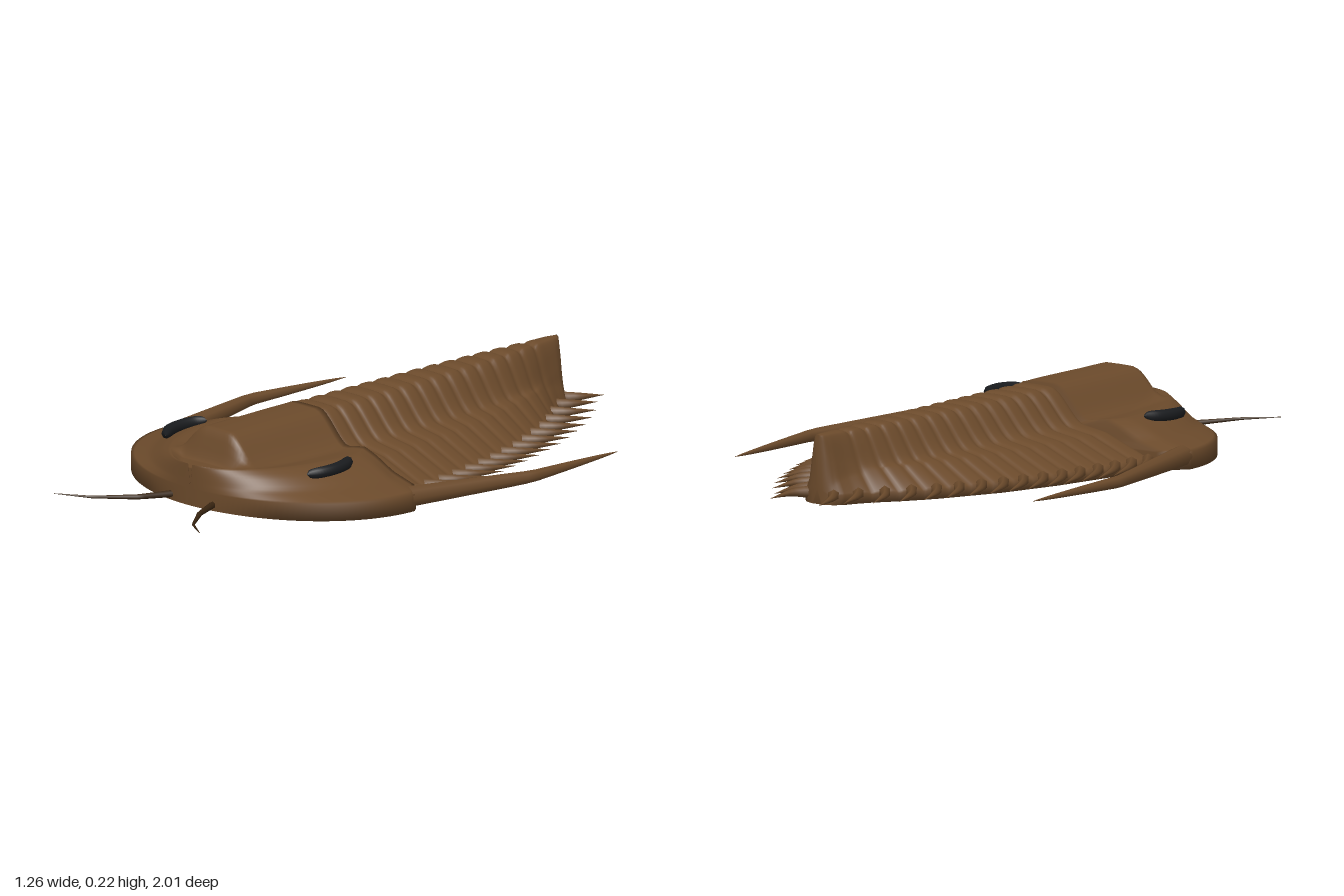
import * as THREE from 'three';

const smooth = (a, b, v) => THREE.MathUtils.smoothstep(v, a, b);

// Linear interpolation through [key, value] pairs with rising keys
function lerpTable(table, v) {
  for (let i = 1; i < table.length; i++) {
    const [k0, v0] = table[i - 1], [k1, v1] = table[i];
    if (v <= k1) return v0 + (v1 - v0) * Math.max(0, (v - k0) / (k1 - k0));
  }
  return table[table.length - 1][1];
}

// Closed shell with a flat underside, lofted over stations [z, halfWidth] of falling z
function loftShell(stations, height) {
  const top = 56, under = 6, n = top + 1 + under + 1;
  const pos = [], index = [];
  for (const [z, w] of stations) {
    for (let j = 0; j <= top; j++) {
      const u = (j / top) * 2 - 1;
      pos.push(u * w, height(Math.abs(u), w, z), z);
    }
    for (let j = 0; j <= under; j++) pos.push((1 - (2 * j) / under) * w, 0, z);
  }
  for (let i = 0; i < stations.length - 1; i++) {
    for (let j = 0; j < n; j++) {
      const a = i * n + j, b = i * n + ((j + 1) % n), c = a + n, d = b + n;
      index.push(a, b, c, b, d, c);
    }
  }
  // end caps
  const last = stations.length - 1;
  for (const s of [0, last]) {
    const centre = pos.length / 3;
    pos.push(0, 0.05, stations[s][0]);
    for (let j = 0; j < n; j++) {
      const a = s * n + j, b = s * n + ((j + 1) % n);
      if (s === 0) index.push(centre, b, a);
      else index.push(centre, a, b);
    }
  }
  const geo = new THREE.BufferGeometry();
  geo.setAttribute('position', new THREE.Float32BufferAttribute(pos, 3));
  geo.setIndex(index);
  geo.computeVertexNormals();
  return geo;
}

// Tube whose radius follows a rule; tension 0 keeps the path straight between points
function taperedTube(points, radius, { tension = 0, segments = 16, sides = 8, side = 1 } = {}) {
  const curve = new THREE.CatmullRomCurve3(
    points.map(([x, y, z]) => new THREE.Vector3(x * side, y, z)), false, 'catmullrom', tension);
  const geo = new THREE.TubeGeometry(curve, segments, 1, sides);
  const p = geo.attributes.position, v = new THREE.Vector3();
  for (let i = 0; i <= segments; i++) {
    const c = curve.getPointAt(i / segments), r = Math.max(radius(i / segments), 0.0005);
    for (let j = 0; j <= sides; j++) {
      const k = i * (sides + 1) + j;
      v.fromBufferAttribute(p, k).sub(c).multiplyScalar(r).add(c);
      p.setXYZ(k, v.x, v.y, v.z);
    }
  }
  return geo;
}

export function createModel() {
  const model = new THREE.Group();
  model.name = 'trilobite';
  const shell = new THREE.MeshStandardMaterial({ color: 0x6b4a2b });
  shell.name = 'brown shell';
  const dark = new THREE.MeshStandardMaterial({ color: 0x3a2612 });
  dark.name = 'dark brown';
  const black = new THREE.MeshStandardMaterial({ color: 0x1a1c1f });
  black.name = 'eye black';
  const add = (name, geo, mat) => {
    const mesh = new THREE.Mesh(geo, mat);
    mesh.name = name;
    model.add(mesh);
  };

  // Head shield: half ellipse with a raised central lobe and swollen cheeks
  const headStations = [];
  for (let i = 0; i <= 44; i++) {
    const a = (1 - i / 44) * Math.PI * 0.49;
    headStations.push([0.27 + 0.445 * Math.sin(a), 0.54 * Math.cos(a)]);
  }
  headStations.push([0.25, 0.525], [0.22, 0.49], [0.195, 0.465]);
  const cheek = [[0, 0.122], [0.36, 0.12], [0.45, 0.128], [0.54, 0.134], [0.65, 0.115], [0.8, 0.08], [1, 0.055]];
  add('headShield', loftShell(headStations, (u, w, z) => {
    const lobe = 1 - smooth(0.05, 0.185, u * w);
    return lerpTable(cheek, u) + 0.1 * lobe * (1 - smooth(0.595, 0.64, z));
  }), shell);

  // Segmented body narrowing to a blunt tail
  const outline = [[-0.905, 0.02], [-0.895, 0.05], [-0.87, 0.075], [-0.83, 0.092], [-0.78, 0.12], [-0.7, 0.18],
    [-0.6, 0.24], [-0.4, 0.33], [-0.2, 0.39], [0, 0.43], [0.22, 0.455]];
  const pitch = 0.07, bodyStations = [];
  for (let i = 0; i <= 160; i++) {
    const z = 0.22 - (1.125 * i) / 160;
    bodyStations.push([z, lerpTable(outline, z)]);
  }
  const side = [[0, 0.12], [0.4, 0.114], [0.6, 0.1], [0.8, 0.065], [1, 0.03]];
  add('segmentedBody', loftShell(bodyStations, (u, w, z) => {
    const scale = Math.pow(w / 0.455, 0.65);
    const lobe = 1 - smooth(0.05 * scale, 0.185 * scale, u * w);
    const groove = z > -0.83 ? Math.pow(1 - Math.abs(Math.sin((Math.PI * (z - 0.2)) / pitch)), 2) : 0;
    return lerpTable(side, u) + 0.1 * lobe - groove * 0.014 * (1 - 0.6 * u);
  }), shell);

  for (const s of [1, -1]) {
    const label = s > 0 ? 'left' : 'right';

    // Row of curved spines along the body edge
    for (let i = 0; i < 16; i++) {
      const z = 0.19 - i * 0.0715, x = lerpTable(outline, z) - 0.015;
      const len = 0.17 - 0.0025 * i, out = i > 13 ? 0.05 : 0.065;
      add(label + 'BodySpine', taperedTube(
        [[x, 0.03, z], [x + out * 0.65, 0.03, z - len * 0.4], [x + out, 0.022, z - len]],
        t => 0.02 * (1 - t), { tension: 0.5, segments: 8, sides: 6, side: s }), shell);
    }

    // Long cheek spine swept back from the head corner
    add(label + 'CheekSpine', taperedTube(
      [[0.51, 0.04, 0.27], [0.614, 0.036, -0.17], [0.593, 0.03, -0.575]],
      t => 0.034 * Math.pow(1 - t, 0.7), { segments: 20, side: s }), shell);

    // Crescent eye
    add(label + 'Eye', taperedTube(
      [[0.308, 0.133, 0.328], [0.333, 0.13, 0.365], [0.342, 0.128, 0.42], [0.333, 0.125, 0.47], [0.308, 0.121, 0.512]],
      t => 0.019 * Math.pow(Math.max(0, 1 - Math.pow(Math.abs(2 * t - 1), 6)), 0.5),
      { tension: 0.5, segments: 24, side: s }), black);

    // Feeler
    add(label + 'Feeler', taperedTube(
      [[0.07, 0.018, 0.66], [0.135, 0.02, 0.81], [0.22, 0.026, 0.925], [0.318, 0.032, 0.995]],
      t => 0.013 * (1 - t * 0.93), { segments: 18, sides: 6, side: s }), dark);
  }
  return model;
}
